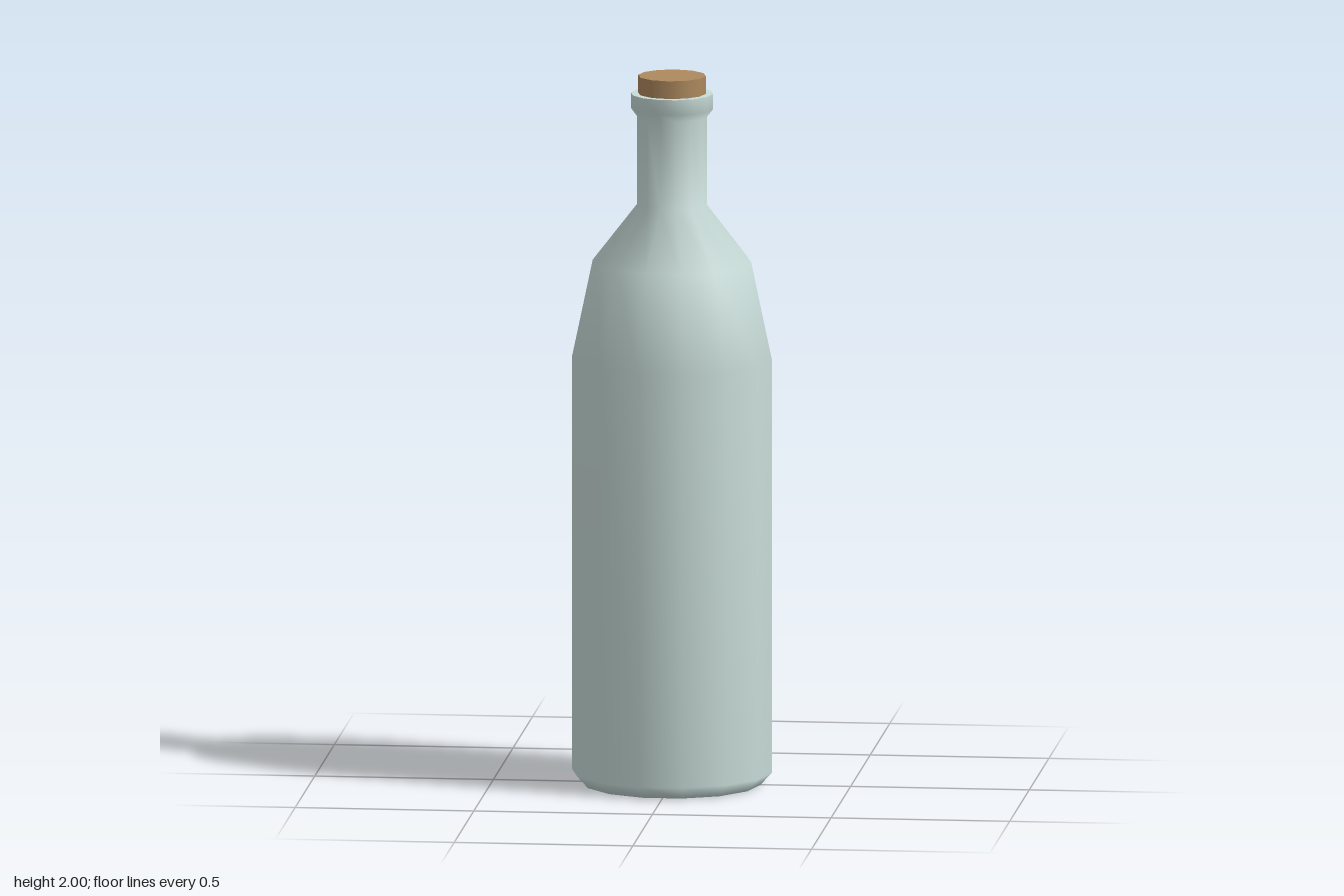
import * as THREE from 'three';

export function createModel() {
  const model = new THREE.Group();
  const glass = new THREE.MeshStandardMaterial({ name: 'pale green glass', color: 0xc8dcd8 });
  const corkBrown = new THREE.MeshStandardMaterial({ name: 'cork brown', color: 0xad895e });

  // Smooth 14-sided revolved profile with a corner on the x axis
  const lathe = (name, points) => {
    const profile = points.map(([r, y]) => new THREE.Vector2(r, y));
    const mesh = new THREE.Mesh(new THREE.LatheGeometry(profile, 14, Math.PI / 2), glass);
    mesh.name = name;
    model.add(mesh);
  };

  // Base, body, shoulder and neck, up to the outside of the lip
  lathe('bottleBody', [
    [0, 0], [0.248, 0], [0.28, 0.035], [0.28, 1.2], [0.222, 1.475],
    [0.098, 1.635], [0.098, 1.885], [0.115, 1.907], [0.115, 1.95],
  ]);

  // Flat rim, kept separate for a sharp edge
  lathe('lipRim', [[0.115, 1.95], [0.085, 1.95]]);

  // Cork pushed into the neck
  const cork = new THREE.Mesh(new THREE.CylinderGeometry(0.095, 0.095, 0.1, 12), corkBrown);
  cork.name = 'cork';
  cork.position.y = 1.95;
  model.add(cork);

  return model;
}
